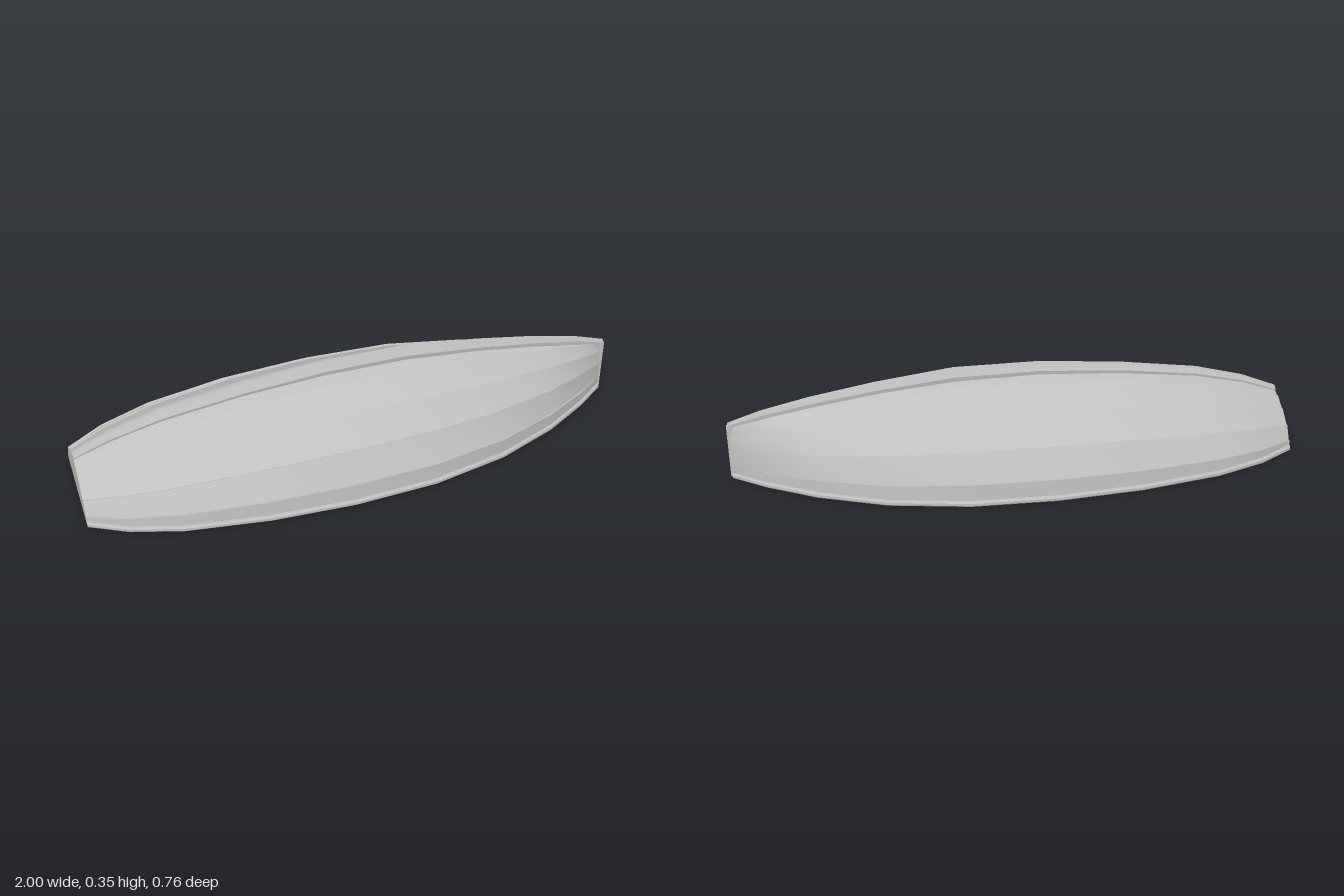
import * as THREE from 'three';

// Stations along the boat: x, half beam, height of the top strake edge, keel top, keel half width
const STATIONS = [
  [-1.0, 0.192, 0.145, 0.165, 0.012],
  [-0.87, 0.262, 0.193, 0.22, 0.017],
  [-0.69, 0.317, 0.238, 0.27, 0.021],
  [-0.4, 0.357, 0.28, 0.315, 0.024],
  [-0.1, 0.369, 0.303, 0.345, 0.025],
  [0.2, 0.35, 0.304, 0.35, 0.025],
  [0.48, 0.288, 0.28, 0.32, 0.021],
  [0.71, 0.193, 0.25, 0.285, 0.016],
  [0.88, 0.092, 0.222, 0.25, 0.011],
  [0.995, 0.006, 0.2, 0.215, 0.007],
];

// Strake edges as fractions of beam and height, with the direction of each overlap step
const EDGES = [
  [0.98, 0.25, 1.0, 0.1],
  [0.8, 0.565, 0.85, 0.5],
  [0.51, 0.82, 0.55, 0.83],
  [0.21, 1.0, 0.4, 0.92],
];

// Mirrors one half of a [z, y] profile so that it runs from +z over the top to -z
const mirrored = (half) => half.concat(half.slice().reverse().map(([z, y]) => [-z, y]));

function hullProfile([, beam, height]) {
  const step = 0.007 * Math.min(1, beam / 0.1);
  const half = [[beam, 0]];
  for (const [fz, fy, nz, ny] of EDGES) {
    const z = beam * fz, y = height * fy;
    half.push([z, y], [Math.max(0.001, z - step * nz), y - step * ny]);
  }
  half.push([0, height + 0.012 * Math.min(1, beam / 0.3)]);
  return mirrored(half);
}

function keelProfile([, , height, top, w]) {
  const shoulder = top - (top - height) * 0.5;
  return mirrored([[w * 0.8, height - 0.015], [w, shoulder], [w * 0.5, top]]);
}

function railProfile(side) {
  return ([, b]) => {
    const inner = Math.max(0, b - 0.008);
    const p = [[inner, 0], [b + 0.006, 0], [b + 0.01, 0.005], [b + 0.01, 0.014], [b + 0.006, 0.019], [inner, 0.019]];
    return side > 0 ? p : p.map(([z, y]) => [-z, y]).reverse();
  };
}

// Skin over the stations: smooth lengthwise, creased between profile segments
function loft(profileAt) {
  const rows = STATIONS.map(profileAt);
  const pos = [], index = [];
  for (let j = 0; j < rows[0].length - 1; j++) {
    const base = pos.length / 3;
    rows.forEach((row, i) => {
      for (const [z, y] of [row[j], row[j + 1]]) pos.push(STATIONS[i][0], y, z);
    });
    for (let i = 0; i < rows.length - 1; i++) {
      const a = base + i * 2;
      index.push(a, a + 2, a + 1, a + 1, a + 2, a + 3);
    }
  }
  const g = new THREE.BufferGeometry();
  g.setAttribute('position', new THREE.Float32BufferAttribute(pos, 3));
  g.setIndex(index);
  g.computeVertexNormals();
  return g;
}

// Flat end plate of a profile, facing along dir (-1 stern, 1 bow)
function endPlate(profileAt, station, dir) {
  const shape = new THREE.Shape(profileAt(station).map(([z, y]) => new THREE.Vector2(-z * dir, y)));
  return new THREE.ShapeGeometry(shape).rotateY(dir * Math.PI / 2).translate(station[0], 0, 0);
}

export function createModel() {
  const group = new THREE.Group();
  const paint = new THREE.MeshStandardMaterial({ color: 0xc0c0c0, side: THREE.DoubleSide });
  paint.name = 'light grey';
  const add = (name, geometry) => {
    const mesh = new THREE.Mesh(geometry, paint);
    mesh.name = name;
    group.add(mesh);
  };
  const stern = STATIONS[0], bow = STATIONS[STATIONS.length - 1];

  // Overlapping planked hull, upside down
  add('strakes', loft(hullProfile));
  add('transom', endPlate(hullProfile, stern, -1));

  // Keel along the ridge
  add('keel', loft(keelProfile));
  add('keelSternEnd', endPlate(keelProfile, stern, -1));
  add('keelBowEnd', endPlate(keelProfile, bow, 1));

  // Upright stem post at the bow
  add('stem', new THREE.BoxGeometry(0.02, 0.2, 0.014).translate(0.99, 0.105, 0));

  // Rub rails along both sheer edges
  for (const side of [1, -1]) {
    const name = side > 0 ? 'frontRail' : 'backRail';
    add(name, loft(railProfile(side)));
    add(name + 'SternEnd', endPlate(railProfile(side), stern, -1));
    add(name + 'BowEnd', endPlate(railProfile(side), bow, 1));
  }

  // Flat cover closing the underside
  const outline = STATIONS.map(([x, b]) => new THREE.Vector2(x, b + 0.004));
  const back = outline.map((p) => new THREE.Vector2(p.x, -p.y)).reverse();
  const cover = new THREE.ShapeGeometry(new THREE.Shape(outline.concat(back)));
  add('cover', cover.rotateX(Math.PI / 2));

  return group;
}
